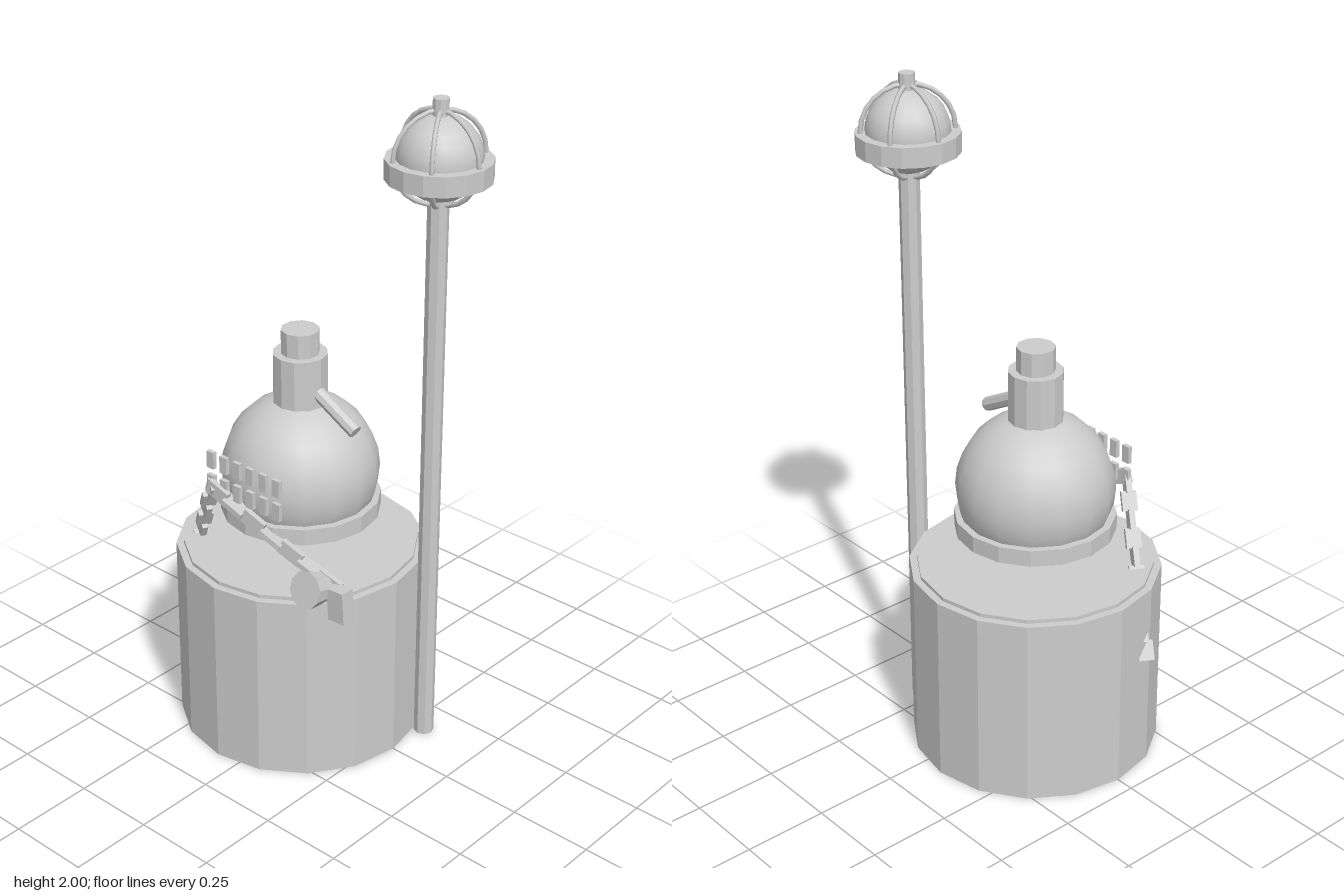
import * as THREE from 'three';

export function createModel() {
  const model = new THREE.Group();
  const grey = new THREE.MeshStandardMaterial({ color: 0xcccccc });
  grey.name = 'plainGrey';

  const add = (name, geo, x, y, z, parent = model) => {
    const mesh = new THREE.Mesh(geo, grey);
    mesh.name = name;
    mesh.position.set(x, y, z);
    parent.add(mesh);
    return mesh;
  };
  // Faceted drum with crisp sides
  const drum = (rTop, rBottom, h, sides) => {
    const g = new THREE.CylinderGeometry(rTop, rBottom, h, sides).toNonIndexed();
    g.computeVertexNormals();
    return g;
  };
  // Drum standing between two heights
  const stack = (name, r, y0, y1, sides, x, z, parent) =>
    add(name, drum(r, r, y1 - y0, sides), x, (y0 + y1) / 2, z, parent);

  // Base barrel and its raised lid
  const cx = -0.075;
  stack('barrel', 0.37, 0, 0.583, 16, cx, 0);
  stack('barrelLid', 0.348, 0.57, 0.594, 16, cx, 0);

  // Round body, collar, neck and cap
  add('body', new THREE.SphereGeometry(0.232, 16, 14), cx, 0.832, 0);
  stack('collar', 0.236, 0.7, 0.75, 16, cx, 0);
  stack('neck', 0.08, 1.03, 1.2, 12, cx, 0);
  stack('cap', 0.056, 1.2, 1.272, 10, cx, 0);

  // Sloping spout out of the neck
  const spout = add('spout', drum(0.021, 0.021, 0.2, 8), 0.047, 1.063, 0);
  spout.rotation.z = -Math.PI / 2 - 0.5;

  // Two rows of small plates across the front
  const plates = new THREE.Group();
  plates.name = 'frontPlates';
  model.add(plates);
  for (const y of [0.902, 0.827]) {
    for (let i = 0; i < 6; i++) {
      add('frontPlate', new THREE.BoxGeometry(0.027, 0.053, 0.013),
        cx + (i - 2.5) * 0.051, y, 0.239, plates);
    }
  }

  // Chains: alternate links are rolled by a quarter turn
  const chain = (name, points, count) => {
    const group = new THREE.Group();
    group.name = name;
    model.add(group);
    const curve = new THREE.CatmullRomCurve3(points.map(p => new THREE.Vector3(...p)));
    const length = curve.getLength() / count * 1.08;
    for (let i = 0; i < count; i++) {
      const t = (i + 0.5) / count;
      const p = curve.getPointAt(t);
      const link = add('chainLink', new THREE.BoxGeometry(0.017, 0.045, length), p.x, p.y, p.z, group);
      link.lookAt(p.clone().add(curve.getTangentAt(t)));
      if (i % 2) link.rotateZ(Math.PI / 2);
    }
  };
  chain('leftHangingChain', [[-0.19, 0.83, 0.25], [-0.31, 0.6, 0.182], [-0.435, 0.365, 0.112]], 10);
  chain('rightHangingChain',
    [[-0.2, 0.825, 0.252], [-0.04, 0.76, 0.24], [0.08, 0.685, 0.205], [0.23, 0.615, 0.175]], 7);

  // Tapered bell and block at the end of the chain
  const bell = add('chainBell', drum(0.056, 0.043, 0.085, 10), 0.18, 0.62, 0.223);
  bell.rotation.x = Math.PI / 2 - 0.3;
  const block = add('chainBlock', new THREE.BoxGeometry(0.058, 0.1, 0.045), 0.254, 0.587, 0.197);
  block.rotation.z = 0.06;

  // Tall post with a caged globe
  const px = 0.298, pz = -0.14, gy = 1.836;
  stack('post', 0.03, 0, 1.72, 8, px, pz);
  add('globe', new THREE.SphereGeometry(0.12, 16, 12), px, gy, pz);
  stack('globeBand', 0.148, 1.777, 1.835, 16, px, pz);
  stack('finial', 0.023, 1.94, 2, 10, px, pz);
  for (let i = 0; i < 3; i++) {
    const rib = add('cageRib', new THREE.TorusGeometry(0.132, 0.007, 6, 24), px, gy, pz);
    rib.rotation.y = i * Math.PI / 3;
  }

  return model;
}
